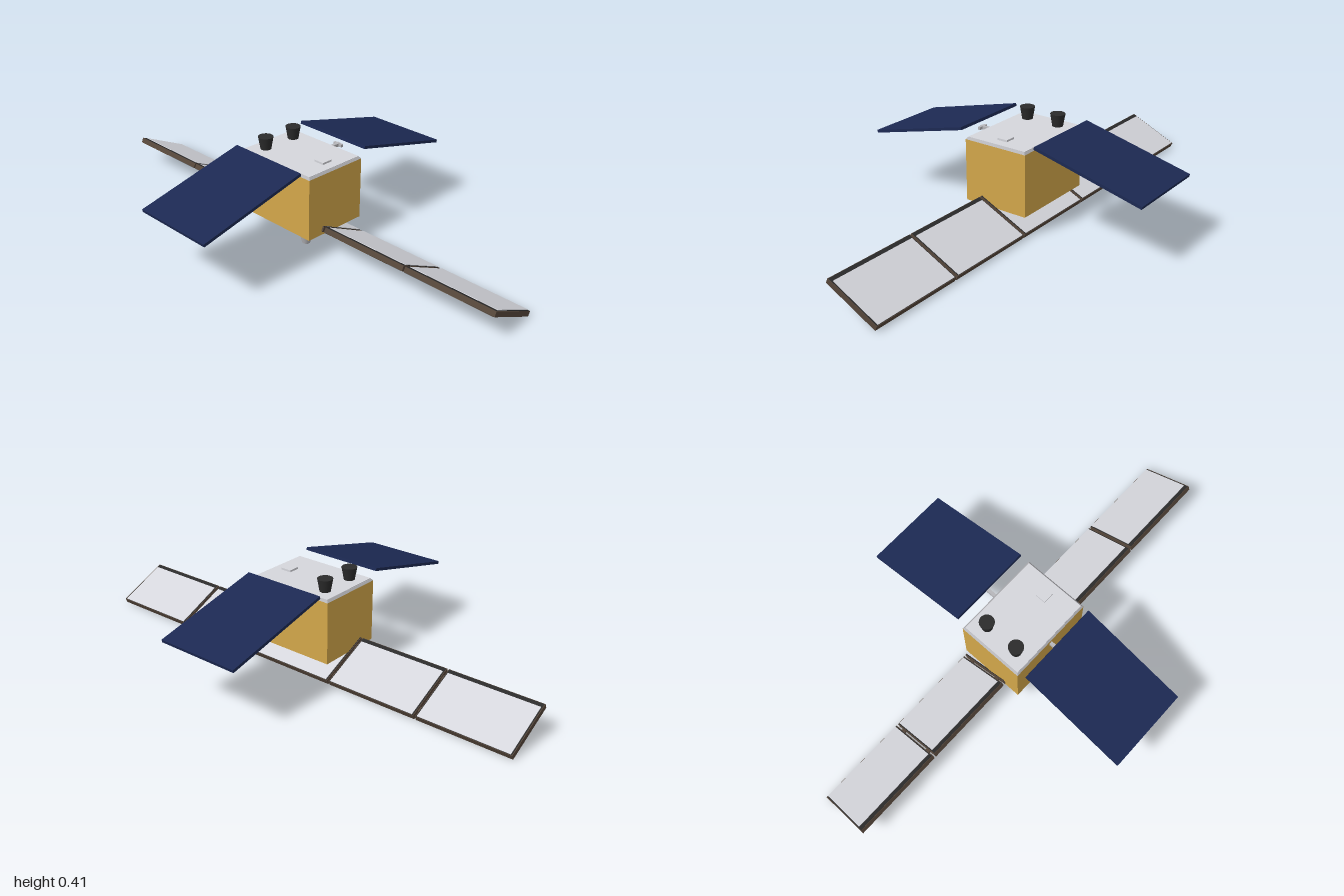
import * as THREE from 'three';

const mat = (name, color) => {
  const m = new THREE.MeshStandardMaterial({ color });
  m.name = name;
  return m;
};

export function createModel() {
  const gold = mat('gold foil', 0xd3a74a);
  const navy = mat('navy panel', 0x1c2953);
  const white = mat('white panel', 0xd5d6dc);
  const metal = mat('grey metal', 0xb6b6ba);
  const black = mat('black', 0x2b2b2b);
  const brown = mat('brown frame', 0x55463a);
  const cell = mat('brown solar cell', 0x5f472d);

  const model = new THREE.Group();
  model.name = 'satellite';

  const add = (parent, name, geometry, material, x, y, z) => {
    const mesh = new THREE.Mesh(geometry, material);
    mesh.name = name;
    mesh.position.set(x, y, z);
    parent.add(mesh);
    return mesh;
  };
  const box = (parent, name, material, w, h, d, x, y, z) =>
    add(parent, name, new THREE.BoxGeometry(w, h, d), material, x, y, z);

  // Foil-wrapped body with a chamfered deck
  box(model, 'body', gold, 0.382, 0.258, 0.286, -0.001, 0.217, 0);
  const rim = new THREE.BoxGeometry(0.382, 0.008, 0.286);
  const p = rim.attributes.position;
  for (let i = 0; i < p.count; i++) {
    if (p.getY(i) > 0) p.setXYZ(i, p.getX(i) * 0.965, p.getY(i), p.getZ(i) * 0.955);
  }
  rim.computeVertexNormals();
  add(model, 'deckRim', rim, metal, -0.001, 0.35, 0);
  box(model, 'deck', white, 0.366, 0.003, 0.271, -0.001, 0.3545, 0);
  box(model, 'deckSensor', white, 0.046, 0.008, 0.046, 0.12, 0.36, 0);

  // Black antenna cups on the deck
  for (const z of [0.075, -0.075]) {
    add(model, 'antennaCup', new THREE.CylinderGeometry(0.031, 0.022, 0.052, 24), black, -0.125, 0.382, z);
  }

  // Tapered nozzle below the body
  add(model, 'nozzle', new THREE.CylinderGeometry(0.031, 0.016, 0.056, 24), metal, 0.12, 0.061, 0.089);

  // Sloping front and back panels with their support arms
  for (const s of [1, -1]) {
    const panel = box(model, 'navyPanel', navy, 0.36, 0.012, 0.479, -0.002, 0.321, s * 0.4075);
    panel.rotation.x = s * 0.2425;
    box(model, 'panelArm', metal, 0.014, 0.014, 0.08, -0.002, 0.323, s * 0.181);
    box(model, 'panelArmCrossbar', metal, 0.045, 0.012, 0.012, -0.002, 0.323, s * 0.214);
  }

  // Tilted wing: five hinged segments, white above and cells below
  const wing = new THREE.Group();
  wing.name = 'solarWing';
  wing.position.set(0, 0.0635, -0.037);
  wing.rotation.x = -0.441;
  model.add(wing);

  const columns = 12, rows = 6;
  const cellGeometry = new THREE.BoxGeometry(0.0295, 0.002, 0.0365);
  for (let i = -2; i <= 2; i++) {
    const segment = new THREE.Group();
    segment.name = 'wingSegment';
    segment.position.x = i * 0.4015;
    wing.add(segment);

    box(segment, 'segmentCore', brown, 0.394, 0.021, 0.241, 0, 0, 0);
    box(segment, 'topBorder', black, 0.388, 0.001, 0.237, 0, 0.011, 0);
    box(segment, 'whiteBacking', white, 0.38, 0.002, 0.219, 0, 0.0125, -0.008);
    box(segment, 'cellBacking', black, 0.388, 0.001, 0.237, 0, -0.011, 0);
    for (let c = 0; c < columns; c++) {
      for (let r = 0; r < rows; r++) {
        add(segment, 'solarCell', cellGeometry, cell,
          (c - (columns - 1) / 2) * 0.0322, -0.0115, (r - (rows - 1) / 2) * 0.0392);
      }
    }
    // Hinges to the next segment
    if (i < 2) {
      for (const z of [-0.08, 0.08]) box(segment, 'hinge', brown, 0.012, 0.008, 0.02, 0.20075, 0, z);
    }
  }

  return model;
}
